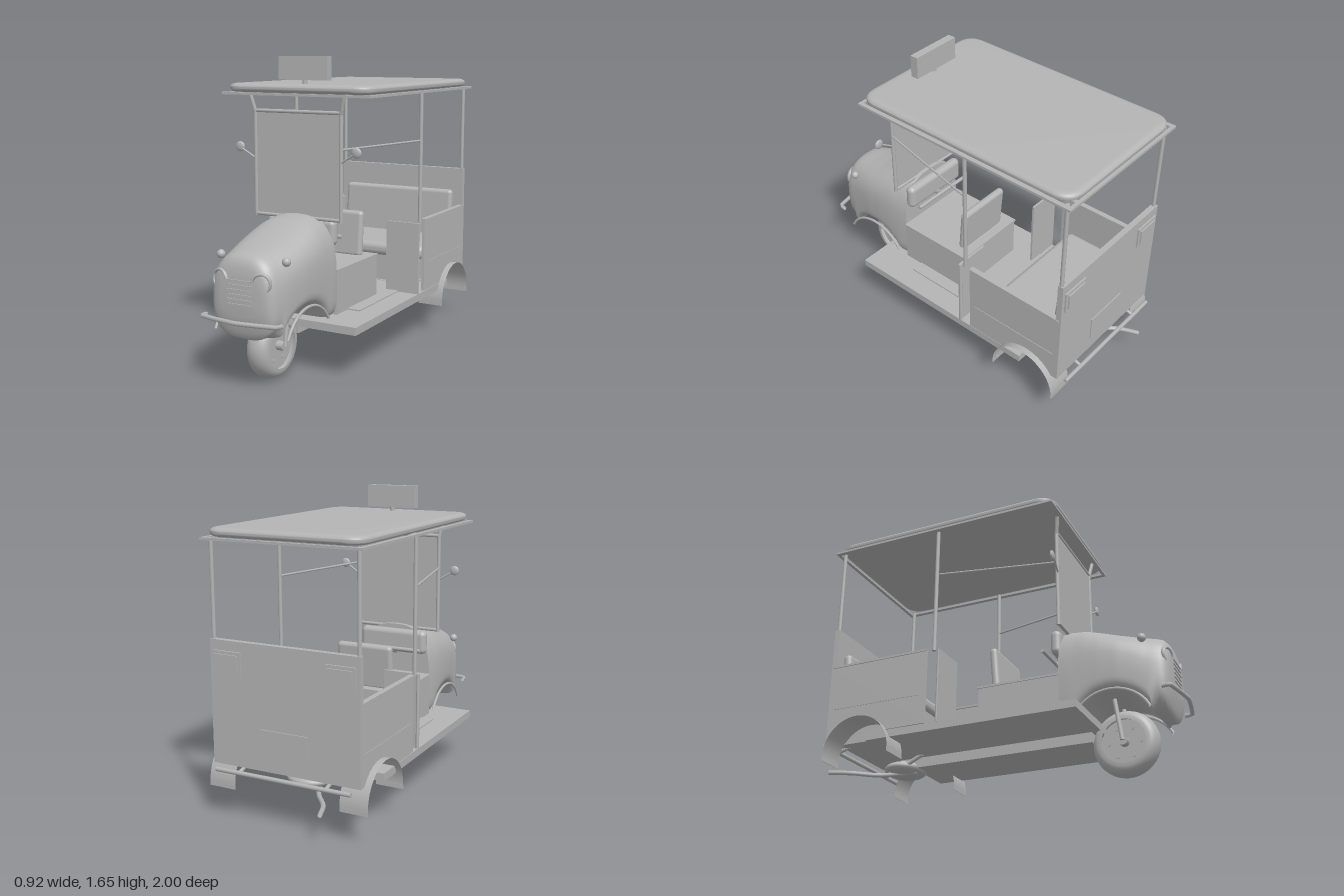
import * as THREE from 'three';
import { toCreasedNormals } from 'three/addons/utils/BufferGeometryUtils.js';
import { RoundedBoxGeometry } from 'three/addons/geometries/RoundedBoxGeometry.js';

export function createModel() {
  const root = new THREE.Group();
  const grey = new THREE.MeshStandardMaterial({ color: 0xb4b4b4, side: THREE.DoubleSide });
  grey.name = 'bodyGrey';
  const V = (p) => new THREE.Vector3(...p);

  // --- helpers ---
  function add(name, geo, pos = [0, 0, 0], rot = [0, 0, 0]) {
    const m = new THREE.Mesh(geo, grey);
    m.name = name;
    m.position.set(...pos);
    m.rotation.set(...rot);
    root.add(m);
    return m;
  }
  // box given by its ranges on each axis
  function box(name, [x0, x1], [y0, y1], [z0, z1]) {
    return add(name, new THREE.BoxGeometry(x1 - x0, y1 - y0, z1 - z0),
      [(x0 + x1) / 2, (y0 + y1) / 2, (z0 + z1) / 2]);
  }
  function cushion(name, size, r, pos, rot) {
    return add(name, new RoundedBoxGeometry(...size, 5, r), pos, rot);
  }
  function rod(name, a, b, r = 0.01) {
    const A = V(a), B = V(b), d = B.clone().sub(A);
    const m = add(name, new THREE.CylinderGeometry(r, r, d.length(), 10));
    m.position.copy(A).add(B).multiplyScalar(0.5);
    m.quaternion.setFromUnitVectors(new THREE.Vector3(0, 1, 0), d.normalize());
    return m;
  }
  function tube(name, pts, r, tension = 0.5) {
    const c = new THREE.CatmullRomCurve3(pts.map(V), false, 'catmullrom', tension);
    return add(name, new THREE.TubeGeometry(c, 24, r, 8));
  }
  const both = (fn) => [1, -1].forEach(fn);
  const span = (s, a, b) => (s > 0 ? [a, b] : [-b, -a]);

  // --- roof: rounded slab with soft edges, over a rectangular rail ---
  const w = 0.405, l = 0.645, c = 0.07;
  const roof = new THREE.Shape();
  roof.moveTo(-w + c, -l).lineTo(w - c, -l).quadraticCurveTo(w, -l, w, -l + c)
    .lineTo(w, l - c).quadraticCurveTo(w, l, w - c, l)
    .lineTo(-w + c, l).quadraticCurveTo(-w, l, -w, l - c)
    .lineTo(-w, -l + c).quadraticCurveTo(-w, -l, -w + c, -l);
  add('roof', toCreasedNormals(new THREE.ExtrudeGeometry(roof, {
    depth: 0.006, bevelThickness: 0.02, bevelSize: 0.035, bevelSegments: 5, curveSegments: 8,
  }), 0.7), [0, 1.484, -0.245], [-Math.PI / 2, 0, 0]);
  both((s) => box('roofSideRail', span(s, 0.425, 0.45), [1.45, 1.463], [-0.93, 0.435]));
  box('roofFrontRail', [-0.45, 0.45], [1.45, 1.463], [0.42, 0.437]);
  box('roofRearRail', [-0.45, 0.45], [1.45, 1.463], [-0.935, -0.915]);

  // --- roof sign ---
  box('roofSign', [-0.15, 0.148], [1.53, 1.655], [0.288, 0.334]);
  rod('signPost', [0, 1.5, 0.311], [0, 1.54, 0.311], 0.014);

  // --- windscreen, pillars, braces and mirrors ---
  box('windscreen', [-0.262, 0.262], [0.81, 1.37], [0.387, 0.393]);
  rod('windscreenTop', [-0.265, 1.368, 0.39], [0.265, 1.368, 0.39], 0.01);
  rod('windscreenBottom', [-0.265, 0.81, 0.39], [0.265, 0.81, 0.39], 0.01);
  both((s) => {
    rod('windscreenPillar', [s * 0.262, 0.8, 0.39], [s * 0.262, 1.37, 0.39], 0.011);
    rod('pillarTop', [s * 0.262, 1.36, 0.39], [s * 0.285, 1.455, 0.405], 0.011);
    rod('sideBrace', [s * 0.265, 1.18, 0.385], [s * 0.41, 1.18, -0.27], 0.006);
    rod('mirrorArm', [s * 0.268, 1.115, 0.395], [s * 0.35, 1.165, 0.405], 0.005);
    const mirror = add('mirror', new THREE.SphereGeometry(0.028, 16, 12), [s * 0.357, 1.17, 0.4]);
    mirror.scale.z = 0.4;
    rod('middlePost', [s * 0.412, 0.71, -0.27], [s * 0.412, 1.455, -0.27], 0.011);
    rod('rearPost', [s * 0.412, 0.7, -0.893], [s * 0.412, 1.455, -0.893], 0.011);
  });

  // --- nose: cross-sections lofted along z, the underside following the wheel arch ---
  const table = [[0.365, 0.828, 0.222], [0.42, 0.832, 0.228], [0.5, 0.818, 0.231], [0.58, 0.79, 0.231],
    [0.68, 0.755, 0.225], [0.78, 0.728, 0.21], [0.86, 0.712, 0.197], [0.9, 0.698, 0.185],
    [0.92, 0.675, 0.17], [0.932, 0.64, 0.15], [0.938, 0.58, 0.11]];
  function sample(z, k) {
    let i = 0;
    while (i < table.length - 2 && z > table[i + 1][0]) i++;
    const [a, b] = [table[i], table[i + 1]];
    return a[k] + (b[k] - a[k]) * (z - a[0]) / (b[0] - a[0]);
  }
  function bottom(z) {
    const h = 0.225 ** 2 - (z - 0.64) ** 2;
    const arch = h > 0 ? 0.18 + Math.sqrt(h) : 0;
    const chin = z > 0.9 ? 0.275 + 0.12 * ((z - 0.9) / 0.038) ** 2 : 0.275;
    return Math.max(arch, chin);
  }
  const zs = [0.365, 0.39];
  for (let i = 0; i <= 22; i++) zs.push(0.42 + i * 0.02);
  zs.push(0.88, 0.9, 0.91, 0.92, 0.927, 0.932, 0.936, 0.938);
  const N = 40, pos = [], idx = [];
  for (const z of zs) {
    const top = sample(z, 1), half = sample(z, 2), low = bottom(z), mid = low + 0.42 * (top - low);
    const nLow = z > 0.85 ? 2.8 : 6;
    for (let j = 0; j < N; j++) {
      const t = (j / N) * Math.PI * 2, cs = Math.cos(t), sn = Math.sin(t);
      const n = sn >= 0 ? 2.7 : nLow;
      const x = Math.sign(cs) * Math.abs(cs) ** (2 / n) * half;
      const y = Math.sign(sn) * Math.abs(sn) ** (2 / n) * (sn >= 0 ? top - mid : mid - low);
      pos.push(x, mid + y, z);
    }
  }
  const last = (zs.length - 1) * N;
  pos.push(0, 0.55, zs[0], 0, 0.5, 0.939);
  for (let j = 0; j < N; j++) {
    const k = (j + 1) % N;
    for (let a = 0; a < last; a += N) idx.push(a + j, a + k, a + N + j, a + k, a + N + k, a + N + j);
    idx.push(last + N, k, j, last + N + 1, last + j, last + k);
  }
  const nose = new THREE.BufferGeometry();
  nose.setAttribute('position', new THREE.Float32BufferAttribute(pos, 3));
  nose.setIndex(idx);
  add('nose', toCreasedNormals(nose, 0.8));

  // --- nose details ---
  for (let i = 0; i < 6; i++) box('grilleSlat', [-0.07, 0.07], [0.456 + i * 0.024, 0.463 + i * 0.024], [0.92, 0.944]);
  both((s) => {
    const hood = add('headlightHood', new THREE.TorusGeometry(0.047, 0.008, 8, 24, Math.PI * 1.3),
      [s * 0.12, 0.575, 0.925], [0, s * 0.25, s > 0 ? -1.0 : 0.1]);
    hood.scale.z = 1.5;
    add('indicator', new THREE.SphereGeometry(0.023, 16, 12), [s * 0.195, 0.67, 0.815]);
    const lip = add('archLip', new THREE.TorusGeometry(0.228, 0.008, 8, 28, Math.PI * 0.7),
      [s * 0.218, 0.18, 0.64], [0, -Math.PI / 2, 0]);
    lip.geometry.rotateZ(Math.PI * 0.15);
  });
  tube('frontBumper', [[-0.225, 0.375, 0.91], [-0.222, 0.378, 0.95], [-0.11, 0.378, 0.972], [0, 0.378, 0.987],
    [0.11, 0.378, 0.972], [0.222, 0.378, 0.95], [0.225, 0.375, 0.91]], 0.012, 0.15);

  // --- front wheel and fork ---
  const prof = [];
  for (let i = 0; i <= 16; i++) {
    const t = (i / 16) * Math.PI;
    prof.push(new THREE.Vector2(0.118 + 0.058 * Math.sin(t) ** 0.8, -0.065 * Math.cos(t)));
  }
  add('tyre', new THREE.LatheGeometry(prof, 40), [0, 0.18, 0.65], [0, 0, Math.PI / 2]);
  add('rim', new THREE.CylinderGeometry(0.125, 0.125, 0.07, 32), [0, 0.18, 0.65], [0, 0, Math.PI / 2]);
  add('hub', new THREE.CylinderGeometry(0.025, 0.025, 0.15, 16), [0, 0.18, 0.65], [0, 0, Math.PI / 2]);
  for (let i = 0; i < 6; i++) {
    const a = (i / 6) * Math.PI * 2;
    add('wheelBolt', new THREE.CylinderGeometry(0.01, 0.01, 0.08, 8),
      [0, 0.18 + 0.085 * Math.sin(a), 0.65 + 0.085 * Math.cos(a)], [0, 0, Math.PI / 2]);
  }
  both((s) => rod('forkLeg', [s * 0.078, 0.18, 0.65], [s * 0.078, 0.43, 0.615], 0.012));

  // --- floor and chassis beam ---
  box('floor', [-0.425, 0.425], [0.255, 0.297], [-0.66, 0.53]);
  box('floorMat', [-0.3, 0.3], [0.297, 0.304], [-0.4, 0.25]);
  box('rearFloor', [-0.31, 0.31], [0.297, 0.306], [-0.89, -0.4]);
  box('chassisBeam', [-0.055, 0.055], [0.2, 0.256], [-0.66, 0.48]);

  // --- driver's place ---
  box('driverBox', [-0.225, 0.225], [0.297, 0.53], [-0.095, 0.366]);
  box('driverBoxTop', [-0.23, 0.23], [0.53, 0.542], [-0.1, 0.366]);
  cushion('driverSeatBack', [0.34, 0.26, 0.045], 0.022, [0, 0.66, -0.03], [-0.08, 0, 0]);
  cushion('dashPad', [0.42, 0.14, 0.06], 0.029, [0, 0.735, 0.345]);
  rod('handlebar', [-0.2, 0.7, 0.27], [0.2, 0.7, 0.27], 0.011);
  rod('steeringStem', [0, 0.7, 0.27], [0, 0.66, 0.37], 0.014);

  // --- passenger body ---
  const side = new THREE.Shape();
  side.moveTo(-0.31, 0.3).lineTo(-0.31, 0.715).lineTo(-0.9, 0.715).lineTo(-0.9, 0.3)
    .lineTo(-0.873, 0.3).absarc(-0.705, 0.19, 0.2, Math.PI - 0.58, 0.58, true).lineTo(-0.31, 0.3);
  const sideGeo = new THREE.ExtrudeGeometry(side, { depth: 0.016, bevelEnabled: false, curveSegments: 24 });
  both((s) => {
    add('sidePanel', sideGeo, [s > 0 ? 0.425 : -0.409, 0, 0], [0, -Math.PI / 2, 0]);
    box('sideTopRail', span(s, 0.4, 0.43), [0.712, 0.724], [-0.9, -0.31]);
    box('sideMoulding', span(s, 0.42, 0.428), [0.462, 0.468], [-0.875, -0.345]);
    box('entryPanel', span(s, 0.22, 0.425), [0.297, 0.71], [-0.241, -0.229]);
    rod('entryPanelEdge', [s * 0.418, 0.297, -0.238], [s * 0.418, 0.71, -0.238], 0.009);
    // rear wheel arches: curved sheet with hanging flaps
    add('rearArch', new THREE.CylinderGeometry(0.2, 0.2, 0.155, 28, 1, true, 0, Math.PI),
      [s * 0.3825, 0.19, -0.705], [0, 0, Math.PI / 2]);
    for (const z of [-0.505, -0.905]) box('archFlap', span(s, 0.305, 0.46), [0.166, 0.19], [z - 0.001, z + 0.001]);
    // tail lamps
    box('lampFrame', span(s, 0.24, 0.405), [0.78, 0.9], [-0.922, -0.905]);
    box('lampLens', span(s, 0.256, 0.389), [0.796, 0.884], [-0.93, -0.92]);
  });
  box('backPanel', [-0.425, 0.425], [0.3, 0.953], [-0.912, -0.88]);
  box('rearPlate', [-0.137, 0.137], [0.38, 0.52], [-0.918, -0.911]);
  rod('rearBar', [-0.39, 0.28, -0.945], [0.39, 0.28, -0.945], 0.012);
  both((s) => rod('rearBarMount', [s * 0.25, 0.28, -0.945], [s * 0.25, 0.303, -0.87], 0.01));

  // --- passenger seat ---
  box('seatBase', [-0.3, 0.3], [0.304, 0.46], [-0.86, -0.42]);
  cushion('seatCushion', [0.74, 0.08, 0.46], 0.035, [0, 0.495, -0.63]);
  cushion('seatBack', [0.74, 0.32, 0.05], 0.024, [0, 0.66, -0.848], [-0.08, 0, 0]);

  // --- silencer and exhaust ---
  const silencer = add('silencer', new THREE.SphereGeometry(1, 24, 16), [0, 0.208, -0.655]);
  silencer.scale.set(0.13, 0.042, 0.115);
  tube('exhaustPipe', [[-0.02, 0.185, -0.57], [-0.1, 0.168, -0.75], [-0.2, 0.168, -0.88], [-0.25, 0.172, -1.0]], 0.013);
  both((s) => rod('springArm', [s * 0.09, 0.21, -0.6], [s * 0.09, 0.26, -0.5], 0.012));
  return root;
}
